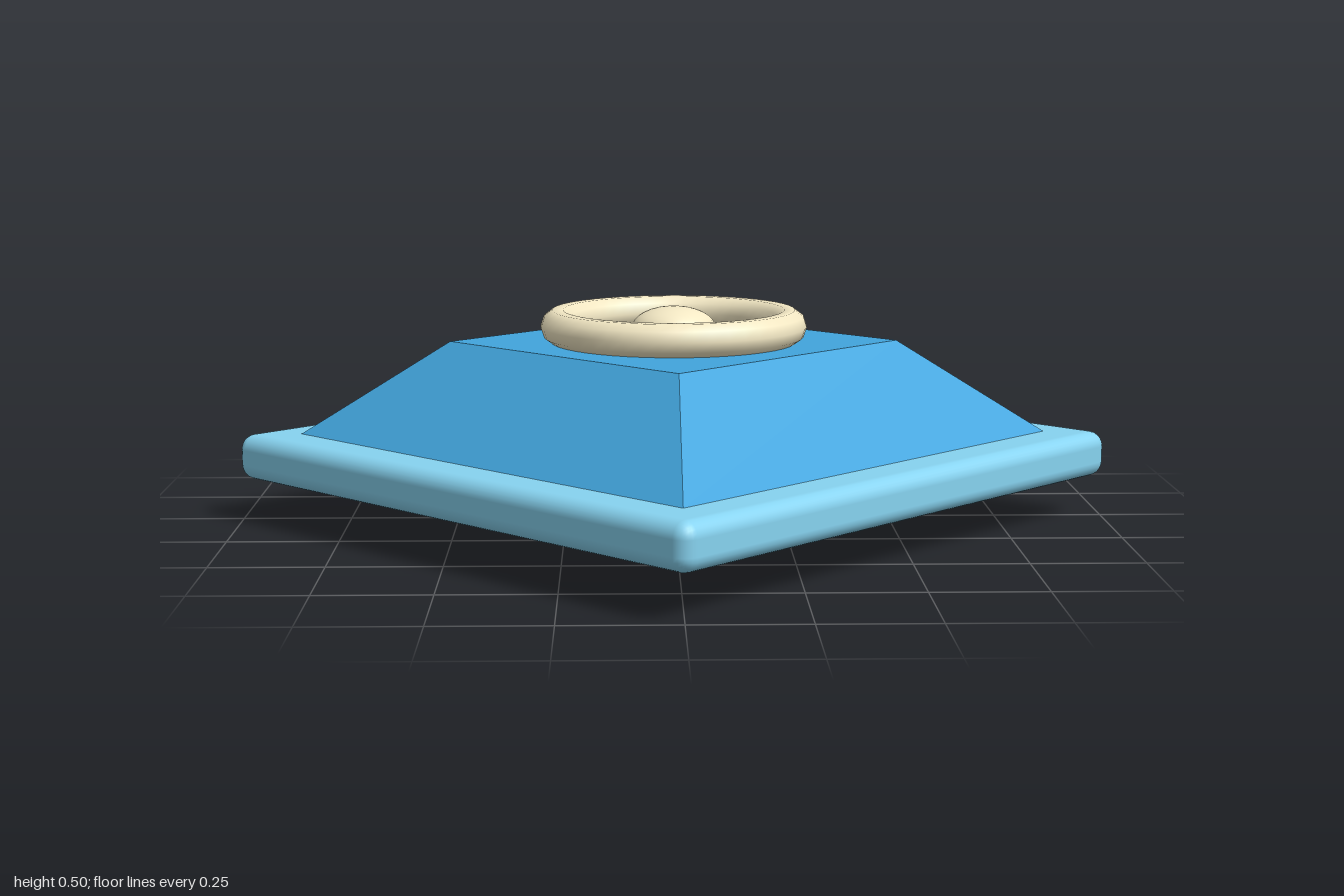
import * as THREE from 'three';
import { RoundedBoxGeometry } from 'three/addons/geometries/RoundedBoxGeometry.js';

const paint = (color, flatShading = false) => new THREE.MeshStandardMaterial({ color, flatShading });

export function createModel() {
  const group = new THREE.Group();
  const blue = paint(0x42a5dd, true);
  const paleBlue = paint(0x87d3f0);
  const cream = paint(0xf3e8c4);

  const add = (name, geometry, material, y) => {
    const mesh = new THREE.Mesh(geometry, material);
    mesh.name = name;
    mesh.position.y = y;
    group.add(mesh);
    return mesh;
  };

  // Diamond plate with rounded edges
  const plate = add('basePlate', new RoundedBoxGeometry(1.435, 0.105, 1.435, 3, 0.035), paleBlue, 0.147);
  plate.rotation.y = Math.PI / 4;

  // Truncated pyramid on top, corners on the axes
  add('raisedBody', new THREE.CylinderGeometry(0.515, 0.862, 0.215, 4), blue, 0.307);

  // Shallow pyramid pointing down underneath
  const point = add('undersidePoint', new THREE.ConeGeometry(0.46, 0.1, 4), blue, 0.05);
  point.rotation.x = Math.PI;

  // Ring and flattened stud on the top face
  const ring = add('ring', new THREE.TorusGeometry(0.267, 0.04, 10, 48), cream, 0.45);
  ring.rotation.x = Math.PI / 2;
  const stud = add('centreStud', new THREE.SphereGeometry(0.096, 24, 16), cream, 0.447);
  stud.scale.y = 0.5;

  return group;
}
